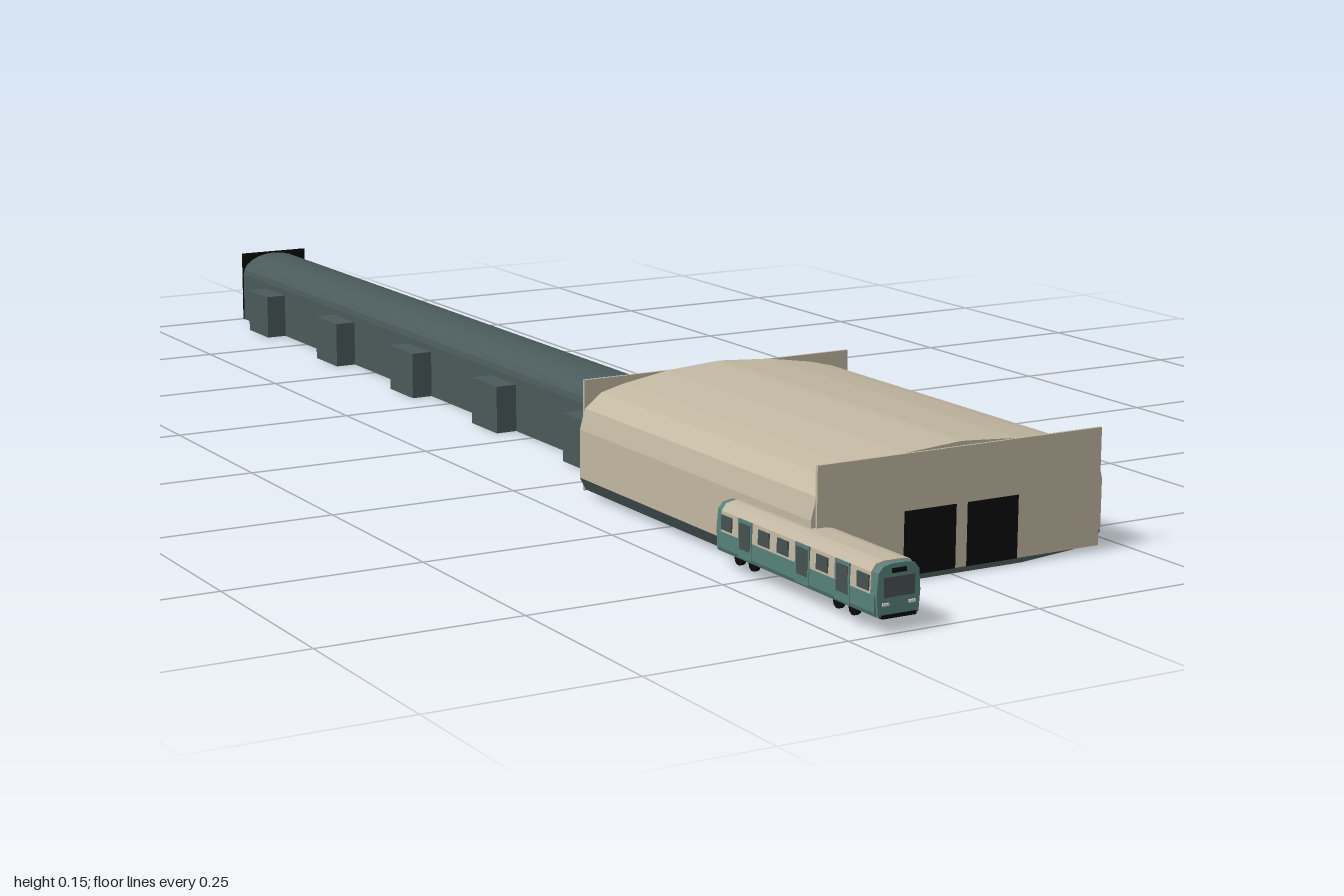
import * as THREE from 'three';

const mat = (name, color) => {
  const m = new THREE.MeshStandardMaterial({ color });
  m.name = name;
  return m;
};

export function createModel() {
  const tan = mat('tan panels', 0xc2b8a2);
  const slate = mat('dark slate', 0x4a5a5a);
  const teal = mat('teal paint', 0x56827a);
  const black = mat('black openings', 0x0c0c0c);
  const glass = mat('dark glass', 0x465250);
  const cream = mat('cream lamps', 0xdcdcca);

  const model = new THREE.Group();
  model.name = 'stationAndTunnel';

  // box given by its limits on each axis
  function box(parent, name, material, x0, x1, y0, y1, z0, z1) {
    const mesh = new THREE.Mesh(new THREE.BoxGeometry(x1 - x0, y1 - y0, z1 - z0), material);
    mesh.position.set((x0 + x1) / 2, (y0 + y1) / 2, (z0 + z1) / 2);
    mesh.name = name;
    parent.add(mesh);
    return mesh;
  }

  // mirrored prism: half profile [offset, y] from the bottom upwards, run along z
  function prism(parent, name, material, cx, half, z0, z1) {
    const mirrored = half.slice().reverse().map(([x, y]) => [-x, y]);
    const shape = new THREE.Shape([...half, ...mirrored].map(([x, y]) => new THREE.Vector2(x, y)));
    const geo = new THREE.ExtrudeGeometry(shape, { depth: z1 - z0, bevelEnabled: false });
    const mesh = new THREE.Mesh(geo, material);
    mesh.position.set(cx, 0, z0);
    mesh.name = name;
    parent.add(mesh);
    return mesh;
  }

  // Station hall
  const hall = new THREE.Group();
  hall.name = 'hall';
  model.add(hall);
  const hx = 0.011, hz0 = 0.315, hz1 = 0.838;
  prism(hall, 'hallShell', tan, hx,
    [[0.202, 0.024], [0.202, 0.086], [0.195, 0.112], [0.172, 0.13], [0.14, 0.138], [0.078, 0.148], [0.005, 0.153]],
    hz0 + 0.001, hz1 - 0.001);
  prism(hall, 'hallBase', slate, hx, [[0.088, 0], [0.194, 0.008], [0.202, 0.024]], hz0 + 0.001, hz1 - 0.001);
  for (const [name, z, s] of [['front', hz1, 1], ['back', hz0, -1]]) {
    box(hall, name + 'Wall', tan, hx - 0.196, hx + 0.197, 0.007, 0.148, z - 0.002, z + 0.002);
    for (const x of [-0.068, 0.019]) {
      box(hall, name + 'Portal', black, x, x + 0.071, 0.007, 0.082, z + s * 0.002 - 0.001, z + s * 0.002 + 0.001);
    }
  }

  // Tunnel with an arched top
  const tunnel = new THREE.Group();
  tunnel.name = 'tunnel';
  model.add(tunnel);
  const tx = -0.034, arch = [[0.054, 0]];
  for (let i = 0; i < 6; i++) {
    const a = (i / 6) * Math.PI / 2;
    arch.push([0.054 * Math.cos(a), 0.074 + 0.032 * Math.sin(a)]);
  }
  arch.push([0.002, 0.106]);
  prism(tunnel, 'tunnelTube', slate, tx, arch, -0.998, hz0);
  box(tunnel, 'tunnelEnd', black, tx - 0.055, tx + 0.055, 0, 0.108, -1, -0.997);
  for (let i = 0; i < 5; i++) {
    const z = -0.868 + i * 0.261;
    box(tunnel, 'sideNiche', slate, -0.118, -0.08, 0, 0.065, z - 0.037, z + 0.037);
  }

  // Rail car beside the hall
  const car = new THREE.Group();
  car.name = 'railCar';
  model.add(car);
  const cx = -0.185, cz0 = 0.675, cz1 = 0.998;
  prism(car, 'lowerBody', teal, cx, [[0.027, 0.019], [0.029, 0.024], [0.029, 0.043]], cz0 + 0.004, cz1 - 0.004);
  prism(car, 'upperBody', tan, cx, [[0.029, 0.043], [0.028, 0.067], [0.022, 0.075], [0.012, 0.077]],
    cz0 + 0.012, cz1 - 0.012);

  // Ends: painted face, windscreen, sign and lamps
  for (const s of [-1, 1]) {
    const end = new THREE.Group();
    end.name = s > 0 ? 'carFront' : 'carRear';
    end.position.set(cx, 0, s > 0 ? cz1 : cz0);
    end.rotation.y = s > 0 ? 0 : Math.PI;
    car.add(end);
    prism(end, 'endFace', teal, 0, [[0.026, 0.019], [0.028, 0.043], [0.026, 0.067], [0.02, 0.074], [0.01, 0.076]],
      -0.014, -0.001);
    box(end, 'windscreen', glass, -0.02, 0.02, 0.04, 0.062, -0.002, 0.0005);
    box(end, 'routeSign', black, -0.009, 0.009, 0.066, 0.071, -0.002, 0.0005);
    box(end, 'bumper', black, -0.022, 0.022, 0.017, 0.021, -0.008, 0.001);
    for (const x of [-0.017, 0.017]) {
      box(end, 'lamp', cream, x - 0.004, x + 0.004, 0.031, 0.034, -0.002, 0.001);
    }
  }

  // Sides: windows, doors and bogies
  for (const s of [-1, 1]) {
    const x = cx + s * 0.0287;
    for (let i = 0; i < 8; i++) {
      const z = 0.7 + i * 0.039;
      const door = i === 1 || i === 4 || i === 6;
      if (door) box(car, 'door', teal, x - 0.001, x + 0.001, 0.022, 0.067, z - 0.014, z + 0.014);
      box(car, 'sideWindow', glass, x - 0.0014, x + 0.0014, door ? 0.032 : 0.046, 0.063, z - 0.011, z + 0.011);
    }
    for (const z of [0.735, 0.935]) {
      for (const dz of [-0.015, 0.015]) {
        const wheel = new THREE.Mesh(new THREE.CylinderGeometry(0.008, 0.008, 0.006, 10), black);
        wheel.rotation.z = Math.PI / 2;
        wheel.position.set(cx + s * 0.023, 0.018, z + dz);
        wheel.name = 'wheel';
        car.add(wheel);
      }
    }
  }
  return model;
}
